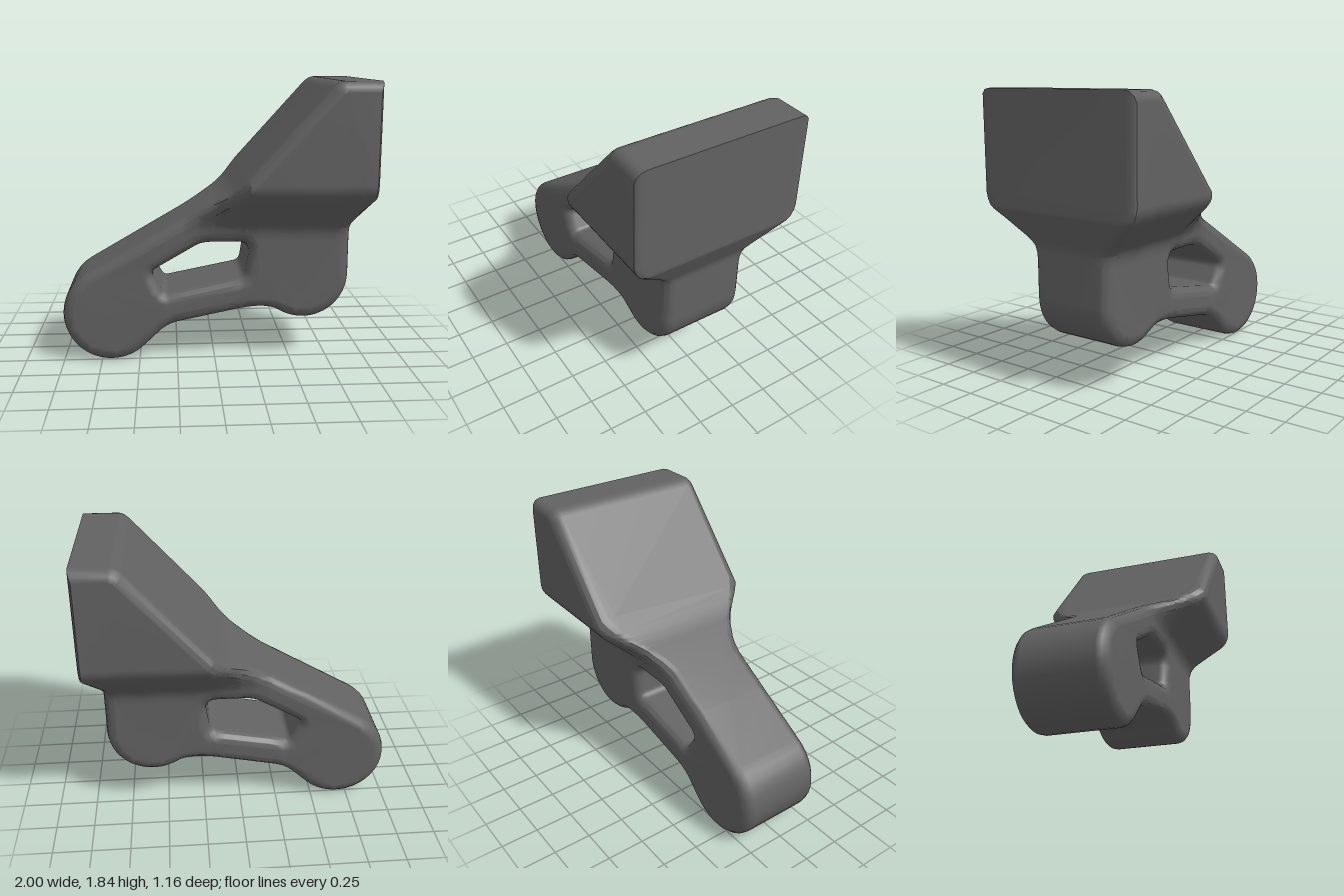
import * as THREE from 'three';

const HALF = 0.29;   // half thickness of the lower bracket
const BEVEL = 0.068; // edge rounding
const clamp01 = (t) => Math.min(1, Math.max(0, t));

// Half width of the body at each height: narrow bracket flaring into the wide block
const FLARE = [[0.8, 0.29], [0.85, 0.295], [0.89, 0.308], [0.92, 0.33], [0.96, 0.37],
  [1.085, 0.505], [1.11, 0.53], [1.14, 0.553], [1.17, 0.569], [1.21, 0.578]];
const FADE_X = [-0.2, -0.1, 0, 0.1, 0.2]; // the flare fades out along here

function halfWidth(y) {
  if (y <= FLARE[0][0]) return HALF;
  for (let i = 1; i < FLARE.length; i++) {
    const [y0, w0] = FLARE[i - 1], [y1, w1] = FLARE[i];
    if (y <= y1) return w0 + (w1 - w0) * (y - y0) / (y1 - y0);
  }
  return FLARE[FLARE.length - 1][1];
}

// Side outline: two rounded feet, an arched underside and a raked block on top
function sideOutline() {
  const s = new THREE.Shape();
  s.moveTo(-0.844, 0.587);
  s.absarc(-0.685, 0.315, 0.315, 2.1, 5.5, false);
  s.lineTo(-0.37, 0.18);
  s.quadraticCurveTo(-0.31, 0.24, -0.22, 0.255);
  s.lineTo(0.15, 0.33);
  s.quadraticCurveTo(0.345, 0.369, 0.43, 0.316);
  s.absarc(0.59, 0.57, 0.3, 4.15, Math.PI * 2, false);
  s.lineTo(0.89, 0.87);
  s.quadraticCurveTo(0.89, 0.91, 0.91, 0.945);
  s.lineTo(1, 1.12);
  s.lineTo(1, 1.84);
  s.lineTo(0.77, 1.84);
  s.quadraticCurveTo(0.73, 1.84, 0.69, 1.8);
  s.lineTo(0.12, 1.17);
  s.quadraticCurveTo(0.07, 1.115, -0.02, 1.065);
  s.closePath();
  return s;
}

// Window through the bracket; its rim widens towards both faces
function windowHole() {
  const h = new THREE.Path();
  h.moveTo(-0.39, 0.615);
  h.quadraticCurveTo(-0.42, 0.595, -0.4, 0.56);
  h.lineTo(-0.35, 0.475);
  h.quadraticCurveTo(-0.335, 0.445, -0.3, 0.453);
  h.lineTo(0.16, 0.545);
  h.quadraticCurveTo(0.2, 0.555, 0.207, 0.595);
  h.lineTo(0.225, 0.71);
  h.quadraticCurveTo(0.23, 0.79, 0.15, 0.79);
  h.lineTo(-0.02, 0.79);
  h.quadraticCurveTo(-0.08, 0.79, -0.12, 0.77);
  h.closePath();
  return h;
}

// Keep the part of a polygon on one side of a level along an axis
function clip(poly, axis, level, side) {
  const out = [];
  poly.forEach((a, i) => {
    const b = poly[(i + 1) % poly.length];
    const da = (a[axis] - level) * side, db = (b[axis] - level) * side;
    if (da >= 0) out.push(a);
    if (da * db < 0) out.push(a.clone().lerp(b, da / (da - db)));
  });
  return out;
}

// Split every triangle along the given levels so the faces can bend there
function slice(tris, axis, levels) {
  for (const level of levels) {
    const next = [];
    for (const t of tris) {
      const low = t.some((v) => v[axis] < level - 1e-6);
      const high = t.some((v) => v[axis] > level + 1e-6);
      if (!(low && high)) { next.push(t); continue; }
      for (const side of [-1, 1]) {
        const poly = clip(t, axis, level, side);
        for (let k = 1; k + 1 < poly.length; k++) next.push([poly[0], poly[k], poly[k + 1]]);
      }
    }
    tris = next;
  }
  return tris;
}

// Bend one point of the plain bracket into the final form
function bend(v) {
  // Flare the sides outwards with height, fading out towards the long arm
  const fade = clamp01((v.x + 0.2) / 0.4);
  const z = v.z + Math.sign(v.z) * (halfWidth(v.y) - HALF) * fade;
  // Tighten the rounding around the flat mounting face
  const t = clamp01((v.y - 0.945) / 0.175);
  const edge = 0.91 + 0.09 * t;
  const tight = t > 0 && edge - v.x < 0.08;
  const x = tight ? edge - (edge - v.x) * (1 - 0.7 * t) : v.x;
  return new THREE.Vector3(x, v.y, z);
}

// Smooth normals weighted by face area, kept sharp beyond the crease angle
function areaNormals(tris, crease) {
  const key = (v) => v.toArray().map((c) => Math.round(c * 1e4)).join();
  const around = new Map();
  const faces = tris.map(([a, b, c]) => {
    const cross = b.clone().sub(a).cross(c.clone().sub(a));
    const face = { cross, unit: cross.clone().normalize() };
    for (const v of [a, b, c]) {
      const k = key(v);
      if (!around.has(k)) around.set(k, []);
      around.get(k).push(face);
    }
    return face;
  });
  const limit = Math.cos(crease);
  return tris.flatMap((t, i) => t.flatMap((v) => {
    const n = faces[i].cross.clone();
    for (const f of around.get(key(v))) {
      if (f !== faces[i] && f.unit.dot(faces[i].unit) > limit) n.add(f.cross);
    }
    return n.normalize().toArray();
  }));
}

export function createModel() {
  const shape = sideOutline();
  shape.holes.push(windowHole());
  const depth = 2 * (HALF - BEVEL);
  const solid = new THREE.ExtrudeGeometry(shape, {
    depth, curveSegments: 10, steps: 1,
    bevelEnabled: true, bevelSegments: 3,
    bevelSize: BEVEL, bevelThickness: BEVEL, bevelOffset: -BEVEL,
  });
  solid.translate(0, 0, -depth / 2);

  const p = solid.attributes.position;
  let tris = [];
  for (let i = 0; i < p.count; i += 3) {
    tris.push([0, 1, 2].map((k) => new THREE.Vector3().fromBufferAttribute(p, i + k)));
  }
  tris = slice(tris, 'y', FLARE.map((f) => f[0]));
  tris = slice(tris, 'x', FADE_X).map((t) => t.map(bend));

  const geometry = new THREE.BufferGeometry().setFromPoints(tris.flat());
  geometry.setAttribute('normal', new THREE.Float32BufferAttribute(areaNormals(tris, 0.6), 3));

  const body = new THREE.Mesh(geometry, new THREE.MeshStandardMaterial({ color: 0x626262 }));
  body.name = 'bracketBody';

  const model = new THREE.Group();
  model.name = 'flaredBracket';
  model.add(body);
  return model;
}
